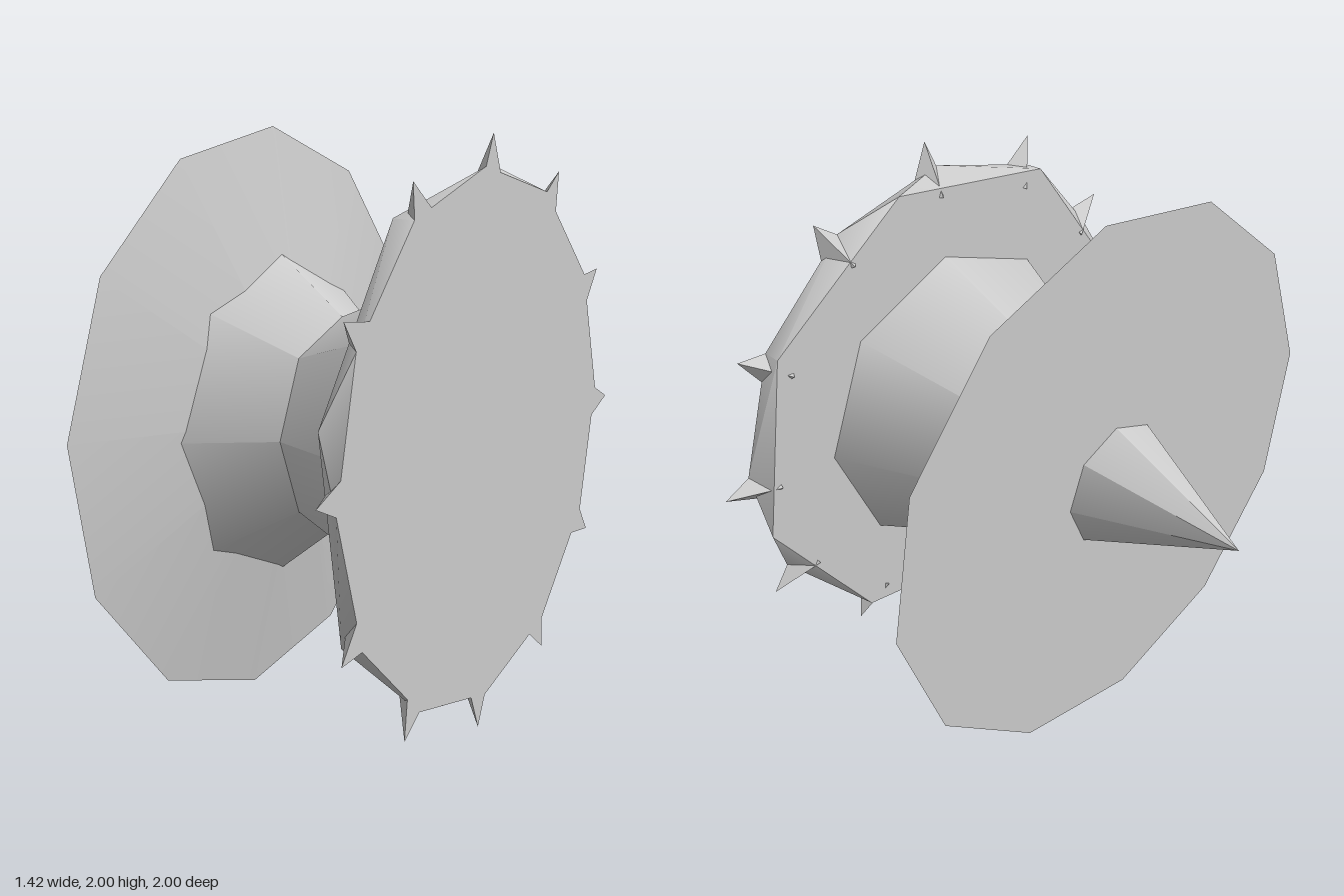
import * as THREE from 'three';
import { toCreasedNormals } from 'three/addons/utils/BufferGeometryUtils.js';
import { ConvexGeometry } from 'three/addons/geometries/ConvexGeometry.js';

const material = new THREE.MeshStandardMaterial({ color: 0xcccccc });

// Point at distance r from the x axis; angle in degrees from up towards +z
function polar(x, r, degrees) {
  const a = THREE.MathUtils.degToRad(degrees);
  return new THREE.Vector3(x, r * Math.cos(a), r * Math.sin(a));
}

function ring(x, r, sides, phase) {
  return Array.from({ length: sides }, (_, i) => polar(x, r, phase + (i * 360) / sides));
}

// Cone lying along the x axis
function cone(name, baseX, apexX, radius, sides, thetaStart = 0) {
  const length = Math.abs(apexX - baseX);
  const geo = new THREE.ConeGeometry(radius, length, sides, 1, false, thetaStart);
  geo.rotateZ(apexX > baseX ? -Math.PI / 2 : Math.PI / 2);
  geo.translate((baseX + apexX) / 2, 0, 0);
  const mesh = new THREE.Mesh(geo, material);
  mesh.name = name;
  return mesh;
}

export function createModel() {
  const model = new THREE.Group();
  model.name = 'spikedSpindle';
  const body = new THREE.Group();
  body.name = 'body';
  body.position.y = 1;
  model.add(body);

  // Long pointed core, the hub flare crossing it, and the wide shallow disc
  body.add(cone('pointedCore', 0.64, -0.71, 0.57, 8));
  body.add(cone('hubFlare', -0.175, 0.62, 0.63, 8));
  body.add(cone('wideDisc', -0.175, 0.02, 1.0, 12, -0.065));

  // Wheel: eight-sided inner face blending into a twelve-sided outer face
  const wheelGeo = new ConvexGeometry([...ring(0.64, 0.885, 8, -12), ...ring(0.71, 0.88, 12, 3)]);
  const wheel = new THREE.Mesh(toCreasedNormals(wheelGeo, 0.9), material);
  wheel.name = 'wheel';
  body.add(wheel);

  // Twelve spikes around the rim, flush with the outer face
  const spikeGeo = new ConvexGeometry([
    new THREE.Vector3(0.71, 0.98, 0),
    new THREE.Vector3(0.71, 0.8, 0.08),
    new THREE.Vector3(0.71, 0.8, -0.08),
    new THREE.Vector3(0.63, 0.8, 0),
  ]);
  const spikes = new THREE.Group();
  spikes.name = 'spikes';
  for (let i = 0; i < 12; i++) {
    const spike = new THREE.Mesh(spikeGeo, material);
    spike.name = 'spike';
    spike.rotation.x = (i * Math.PI) / 6;
    spikes.add(spike);
  }
  body.add(spikes);

  return model;
}
